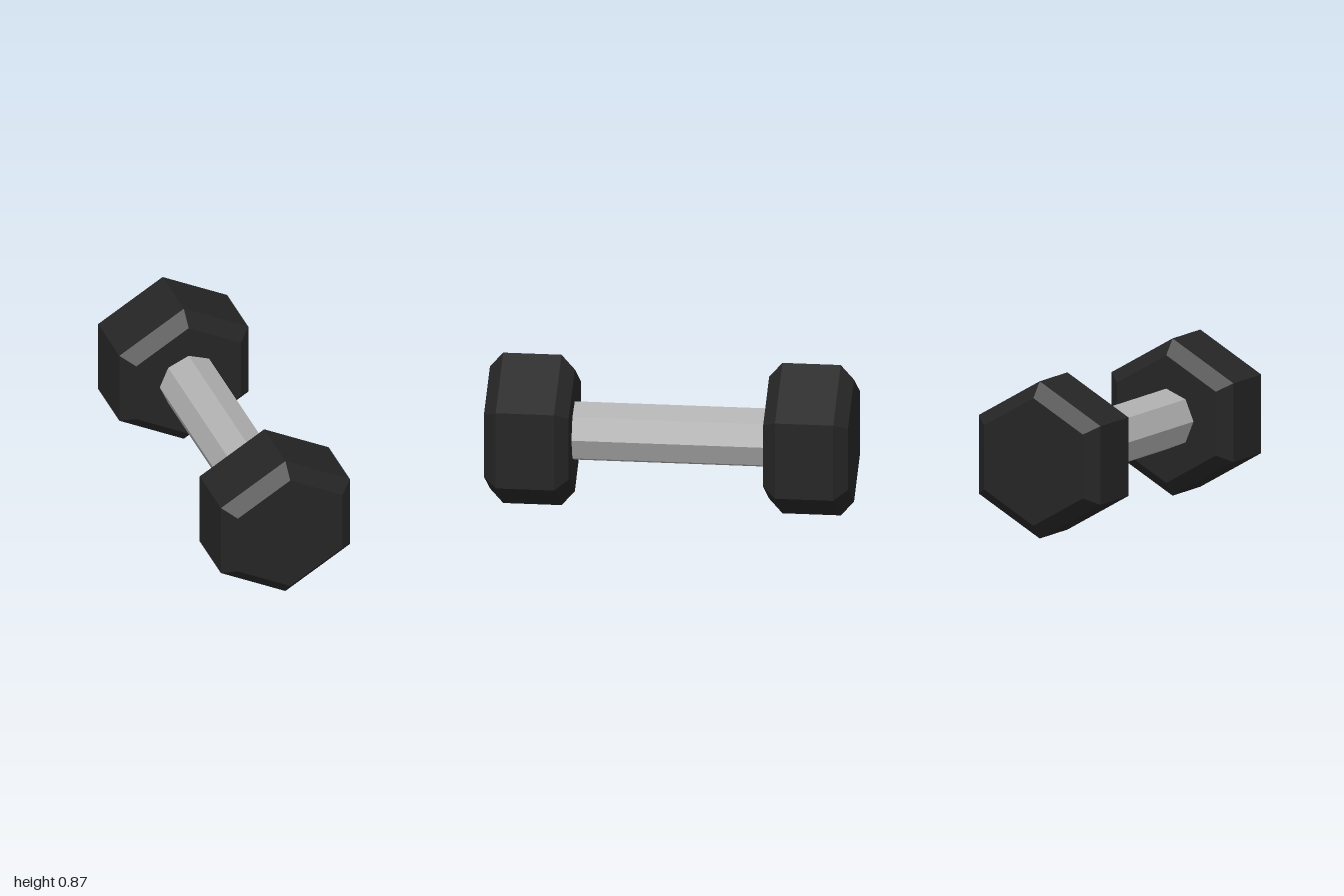
import * as THREE from 'three';

export function createModel() {
  const group = new THREE.Group();
  group.name = 'dumbbell';

  const rubber = new THREE.MeshStandardMaterial({ name: 'black rubber', color: 0x252525, flatShading: true });
  const steel = new THREE.MeshStandardMaterial({ name: 'grey steel', color: 0xb0b0b0, flatShading: true });

  const centreY = 0.436;  // height of the bar axis
  const headR = 0.436;    // hexagon corner radius
  const capR = 0.354;     // radius of the flat end inside the bevel
  const half = 0.233;     // half the head length
  const bevel = 0.073;

  // Bevelled hexagonal head, one corner pointing down, turned along z
  const profile = [
    [0, -half], [capR, -half], [headR, -half + bevel],
    [headR, half - bevel], [capR, half], [0, half],
  ].map(([r, y]) => new THREE.Vector2(r, y));
  const headGeometry = new THREE.LatheGeometry(profile, 6).rotateX(Math.PI / 2);

  for (const [name, side] of [['frontHead', 1], ['backHead', -1]]) {
    const head = new THREE.Mesh(headGeometry, rubber);
    head.name = name;
    head.position.set(0, centreY, side * (1 - half));
    group.add(head);
  }

  // Eight-sided handle, ends sunk slightly into the heads
  const handle = new THREE.Mesh(
    new THREE.CylinderGeometry(0.169, 0.169, 1.1, 8, 1).rotateX(Math.PI / 2), steel);
  handle.name = 'handle';
  handle.position.y = centreY;
  group.add(handle);

  return group;
}
